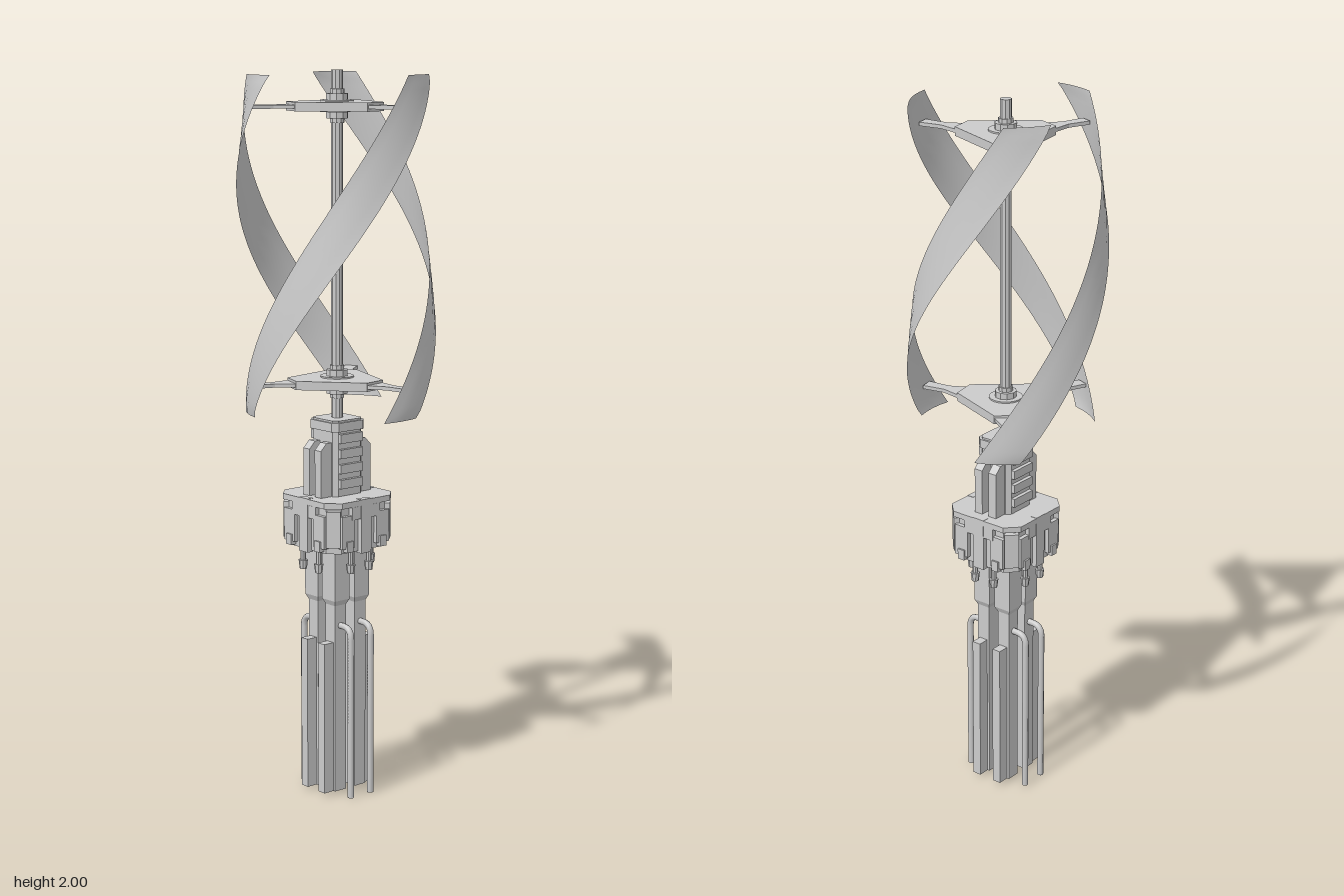
import * as THREE from 'three';

const RAD = Math.PI / 180;
const smooth = new THREE.MeshStandardMaterial({ color: 0xcccccc, side: THREE.DoubleSide });
const flat = new THREE.MeshStandardMaterial({ color: 0xcccccc, flatShading: true });

function add(parent, name, geometry, x = 0, y = 0, z = 0, material = flat) {
  const mesh = new THREE.Mesh(geometry, material);
  mesh.name = name;
  mesh.position.set(x, y, z);
  parent.add(mesh);
  return mesh;
}

const box = (w, h, d) => new THREE.BoxGeometry(w, h, d);
const cyl = (rTop, rBottom, h, n = 10) => new THREE.CylinderGeometry(rTop, rBottom, h, n);

// Horizontal plate from an outline of [x, z] points, rising from y = 0
function plate(points, height) {
  const shape = new THREE.Shape(points.map(([x, z]) => new THREE.Vector2(x, -z)));
  const g = new THREE.ExtrudeGeometry(shape, { depth: height, bevelEnabled: false });
  return g.rotateX(-Math.PI / 2);
}

// Square outline with cut corners
function octagon(s, c) {
  const k = s - c;
  return [[s, -k], [s, k], [k, s], [-k, s], [-s, k], [-s, -k], [-k, -s], [k, -s]];
}

// Helical strip: the leading edge swells outward at mid height
function bladeGeometry() {
  const rows = 48, cols = 4, pos = [], index = [];
  for (let i = 0; i <= rows; i++) {
    const t = i / rows;
    const bulge = 0.023 * Math.sqrt(Math.max(0, Math.sin(Math.PI * t)));
    for (let j = 0; j <= cols; j++) {
      const s = j / cols;
      const a = (-27 + 138 * t + (s - 0.5) * 28) * RAD;
      const r = 0.25 + bulge * s;
      pos.push(r * Math.sin(a), 1.08 + 0.91 * t, r * Math.cos(a));
      if (i < rows && j < cols) {
        const p = i * (cols + 1) + j, q = p + cols + 1;
        index.push(p, p + 1, q + 1, p, q + 1, q);
      }
    }
  }
  const g = new THREE.BufferGeometry();
  g.setAttribute('position', new THREE.Float32BufferAttribute(pos, 3));
  g.setIndex(index);
  g.computeVertexNormals();
  return g;
}

// Three-armed blade holder with a collar around the shaft
function holder(y) {
  const g = new THREE.Group();
  g.name = 'bladeHolder';
  const hub = [];
  for (let i = 0; i < 3; i++) {
    const a = i * 120 * RAD, c = Math.cos(a), s = Math.sin(a);
    for (const w of [-0.035, 0.035]) hub.push([0.132 * c - w * s, 0.132 * s + w * c]);
    const arm = add(g, 'holderArm', plate([
      [0.1, -0.034], [0.135, -0.032], [0.185, -0.015], [0.25, -0.018],
      [0.25, 0.018], [0.185, 0.015], [0.135, 0.032], [0.1, 0.034]], 0.01), 0, -0.005);
    arm.rotation.y = -a;
  }
  add(g, 'holderPlate', plate(hub, 0.024), 0, -0.012);
  add(g, 'holderFlange', cyl(0.046, 0.046, 0.032, 24));
  add(g, 'holderCollar', cyl(0.03, 0.03, 0.066));
  add(g, 'holderNut', cyl(0.02, 0.02, 0.09));
  g.rotation.y = 10 * RAD;
  g.position.y = y;
  return g;
}

// One side of the clamp housing, facing +z
function housingSide() {
  const g = new THREE.Group();
  g.name = 'housingSide';
  add(g, 'centrePlate', box(0.036, 0.15, 0.02), 0, 0.775, 0.112);
  add(g, 'crossPlate', box(0.1, 0.035, 0.018), 0, 0.815, 0.112);
  for (const s of [-1, 1]) {
    add(g, 'clampPad', box(0.045, 0.09, 0.016), s * 0.062, 0.765, 0.112);
    add(g, 'clampHook', box(0.022, 0.03, 0.026), s * 0.06, 0.725, 0.112);
    // Hanging bolts
    add(g, 'boltStem', cyl(0.008, 0.008, 0.06, 8), s * 0.033, 0.68, 0.095);
    add(g, 'boltHead', cyl(0.013, 0.01, 0.025, 8), s * 0.033, 0.655, 0.095);
  }
  return g;
}

export function createModel() {
  const model = new THREE.Group();
  model.name = 'helicalTurbine';

  // Rotor
  const blade = bladeGeometry();
  for (let i = 0; i < 3; i++) {
    add(model, 'blade', blade, 0, 0, 0, smooth).rotation.y = i * 120 * RAD;
  }
  add(model, 'shaft', cyl(0.016, 0.016, 0.98), 0, 1.51, 0);
  model.add(holder(1.905), holder(1.16));

  // Ribbed neck
  add(model, 'neck', plate(octagon(0.052, 0.012), 0.21), 0, 0.85);
  add(model, 'neckCap', plate(octagon(0.058, 0.014), 0.025), 0, 1.03);
  const finShape = new THREE.Shape([[-0.09, 0], [0.09, 0], [0.09, 0.13], [0.07, 0.15],
    [-0.07, 0.15], [-0.09, 0.13]].map(([x, y]) => new THREE.Vector2(x, y)));
  for (const s of [-1, 1]) {
    const fin = new THREE.ExtrudeGeometry(finShape, { depth: 0.026, bevelEnabled: false });
    fin.translate(0, 0, -0.013).rotateY(Math.PI / 2);
    add(model, 'neckFin', fin, s * 0.024, 0.85, 0);
    for (let i = 0; i < 4; i++) {
      add(model, 'neckRib', box(0.014, 0.025, 0.08), s * 0.056, 0.885 + i * 0.042, 0);
    }
  }

  // Clamp housing
  add(model, 'housingBody', plate(octagon(0.108, 0.03), 0.135), 0, 0.705);
  add(model, 'housingRim', plate(octagon(0.122, 0.035), 0.016), 0, 0.833);
  for (let i = 0; i < 4; i++) {
    const side = housingSide();
    side.rotation.y = i * Math.PI / 2;
    model.add(side);
    const corner = new THREE.Group();
    corner.name = 'housingCorner';
    corner.rotation.y = (i + 0.5) * Math.PI / 2;
    add(corner, 'cornerClamp', box(0.04, 0.1, 0.022), 0, 0.775, 0.136);
    model.add(corner);
  }

  // Four quadrant columns, legs, fins and bent tubes
  for (const sx of [-1, 1]) {
    for (const sz of [-1, 1]) {
      const x = sx * 0.036, z = sz * 0.036;
      add(model, 'column', box(0.054, 0.15, 0.054), x, 0.635, z);
      const taper = cyl(0.027 * Math.SQRT2, 0.02 * Math.SQRT2, 0.015, 4).rotateY(Math.PI / 4);
      add(model, 'columnTaper', taper, x, 0.5525, z);
      add(model, 'leg', box(0.04, 0.54, 0.04), x, 0.28, z);
      add(model, 'legFin', box(0.026, 0.43, 0.036), x, 0.225, sz * 0.071);

      const path = new THREE.CurvePath();
      const v = (px, py) => new THREE.Vector3(sx * px, py, z);
      path.add(new THREE.LineCurve3(v(0.1, 0), v(0.1, 0.455)));
      path.add(new THREE.QuadraticBezierCurve3(v(0.1, 0.455), v(0.1, 0.487), v(0.07, 0.487)));
      path.add(new THREE.LineCurve3(v(0.07, 0.487), v(0.04, 0.487)));
      add(model, 'bentTube', new THREE.TubeGeometry(path, 60, 0.009, 8), 0, 0, 0, smooth);
      add(model, 'tubeEnd', cyl(0.009, 0.009, 0.004, 8), sx * 0.1, 0.002, z);
    }
  }
  return model;
}
